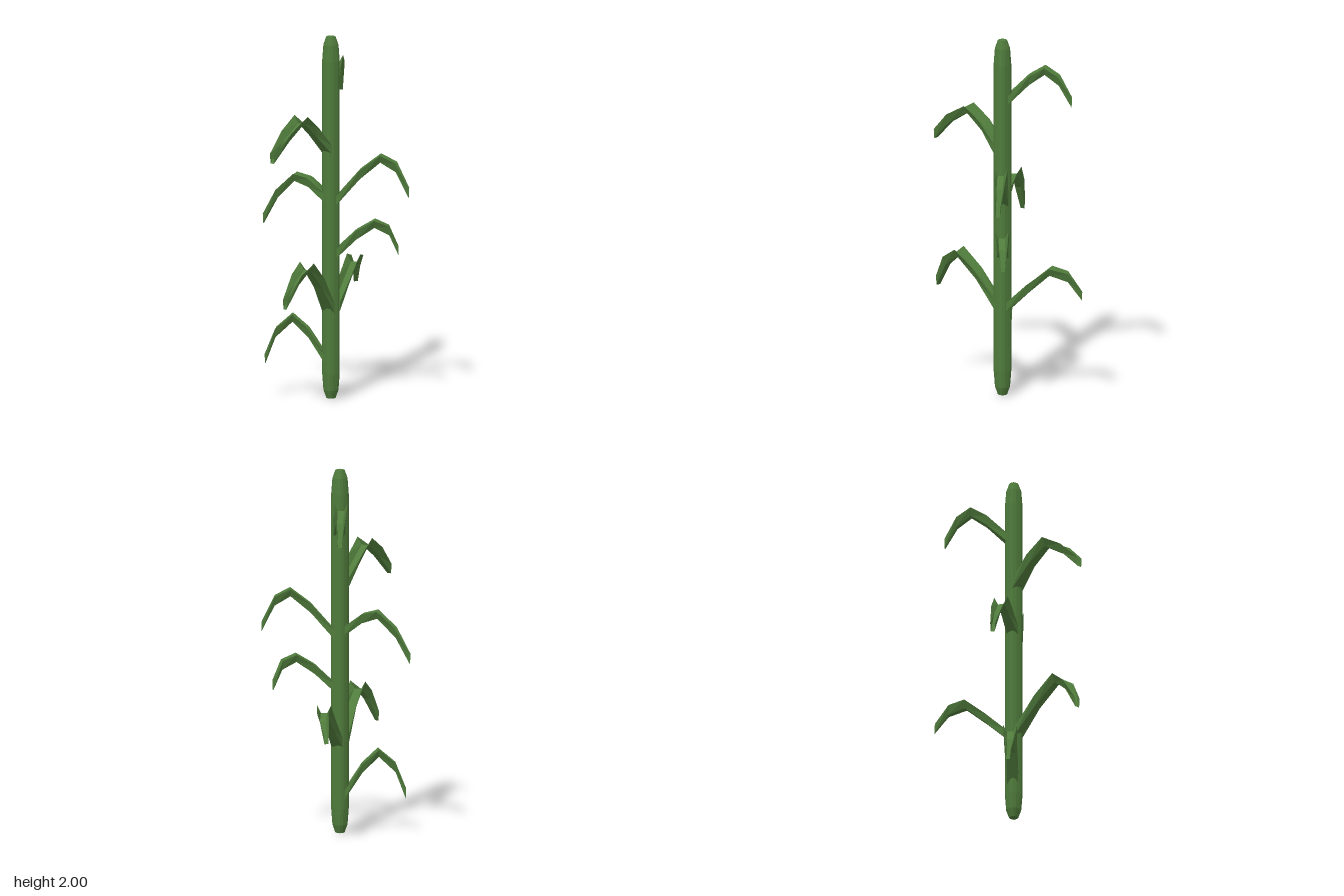
import * as THREE from 'three';

const green = new THREE.MeshStandardMaterial({ color: 0x507c3c, flatShading: true, side: THREE.DoubleSide });
green.name = 'leafGreen';

// Leaf sections from base to tip: half width, floor share of the width, rim height
const SECTIONS = [
  [0.033, 1, 0.05], [0.037, 0.6, 0.05], [0.04, 0.45, 0.042], [0.034, 0.5, 0.05], [0.015, 0.75, 0.052],
];

// Channel-shaped strip: a narrow floor with a rim raised on each side
function leafGeometry(keel, scale) {
  const pts = keel.map(p => new THREE.Vector3(...p));
  const up = new THREE.Vector3(0, 1, 0);
  const pos = [], idx = [];
  pts.forEach((p, i) => {
    const a = pts[Math.max(i - 1, 0)], b = pts[Math.min(i + 1, pts.length - 1)];
    const side = b.clone().sub(a).cross(up).normalize();
    const [half, floor, rim] = SECTIONS[i];
    for (const [s, h] of [[-1, rim], [-floor, 0], [floor, 0], [1, rim]]) {
      const v = p.clone().addScaledVector(side, s * half * scale);
      pos.push(v.x, v.y + h, v.z);
    }
    if (i > 0) {
      for (let k = 0; k < 3; k++) {
        const n = i * 4 + k, m = n - 4;
        idx.push(m, m + 1, n + 1, m, n + 1, n);
      }
    }
  });
  const g = new THREE.BufferGeometry();
  g.setAttribute('position', new THREE.Float32BufferAttribute(pos, 3));
  g.setIndex(idx);
  g.computeVertexNormals();
  return g;
}

// Lathe pushed outward at the corners into a rounded square
function stalkGeometry() {
  const profile = [[0, 0], [0.022, 0.005], [0.036, 0.05], [0.042, 0.14], [0.042, 1.86],
    [0.036, 1.95], [0.022, 1.995], [0, 2]].map(p => new THREE.Vector2(...p));
  const g = new THREE.LatheGeometry(profile, 16);
  const pos = g.attributes.position;
  for (let i = 0; i < pos.count; i++) {
    const x = Math.abs(pos.getX(i)), z = Math.abs(pos.getZ(i)), r = Math.hypot(x, z);
    if (r < 1e-6) continue;
    const k = r / Math.pow(x ** 3.2 + z ** 3.2, 1 / 3.2);
    pos.setX(i, pos.getX(i) * k);
    pos.setZ(i, pos.getZ(i) * k);
  }
  g.computeVertexNormals();
  return g;
}

// Width scale of each leaf and its keel points, from stalk to tip
const LEAVES = [
  [0.95, [-0.01, 1.64, -0.07], [-0.09, 1.75, -0.15], [-0.15, 1.808, -0.21], [-0.20, 1.75, -0.27], [-0.245, 1.63, -0.32]],
  [1.15, [0.01, 1.35, -0.02], [0.02, 1.465, 0.09], [0.045, 1.548, 0.19], [0.07, 1.47, 0.31], [0.08, 1.36, 0.42]],
  [0.95, [0.03, 1.07, -0.07], [0.12, 1.215, -0.16], [0.195, 1.306, -0.24], [0.255, 1.255, -0.30], [0.308, 1.115, -0.345]],
  [0.95, [-0.01, 1.085, -0.03], [-0.10, 1.16, 0.015], [-0.17, 1.188, 0.06], [-0.25, 1.085, 0.12], [-0.315, 0.945, 0.16]],
  [0.95, [0.03, 0.78, -0.07], [0.10, 0.88, -0.15], [0.17, 0.946, -0.22], [0.22, 0.905, -0.28], [0.248, 0.795, -0.32]],
  [1.15, [0.02, 0.48, -0.02], [0.065, 0.637, 0.09], [0.107, 0.751, 0.20], [0.118, 0.685, 0.28], [0.115, 0.555, 0.36]],
  [0.95, [0, 0.48, -0.08], [-0.05, 0.595, -0.19], [-0.11, 0.706, -0.30], [-0.17, 0.675, -0.375], [-0.235, 0.565, -0.416]],
  [0.95, [-0.01, 0.19, -0.03], [-0.08, 0.335, 0.035], [-0.14, 0.422, 0.10], [-0.20, 0.335, 0.17], [-0.245, 0.19, 0.205]],
];

export function createModel() {
  const model = new THREE.Group();
  model.name = 'plant';

  // Straight stalk with rounded ends
  const stalk = new THREE.Mesh(stalkGeometry(), green);
  stalk.name = 'stalk';
  stalk.position.set(0.01, 0, -0.045);
  model.add(stalk);

  // Arching leaves
  LEAVES.forEach(([scale, ...keel], i) => {
    const leaf = new THREE.Mesh(leafGeometry(keel, scale), green);
    leaf.name = `leaf${i + 1}`;
    model.add(leaf);
  });
  return model;
}
